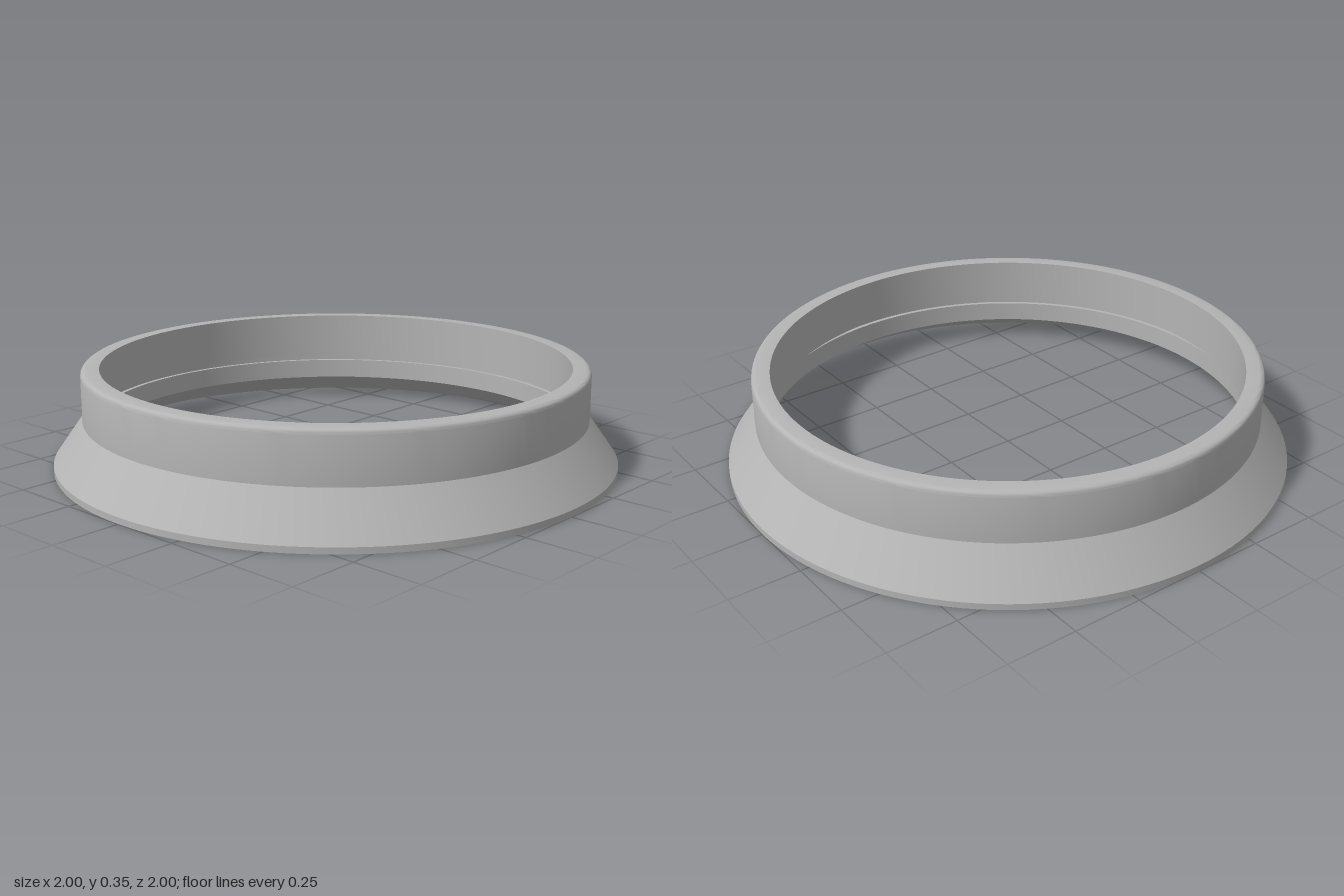
import * as THREE from 'three';
import { toCreasedNormals } from 'three/addons/utils/BufferGeometryUtils.js';

export function createModel() {
  const group = new THREE.Group();
  group.name = 'flaredRing';
  const metal = new THREE.MeshStandardMaterial({ color: 0xb4b4b4 });
  metal.name = 'grey metal';

  const profile = [];
  const add = (r, y) => profile.push(new THREE.Vector2(r, y));

  // Outside: thin rim, sloping flare, straight collar
  add(1, 0);
  add(1, 0.022);
  add(0.895, 0.17);

  // Rounded outer top edge of the collar
  const fillet = 0.018;
  for (let i = 0; i <= 4; i++) {
    const a = (i / 4) * Math.PI / 2;
    add(0.895 - fillet + fillet * Math.cos(a), 0.35 - fillet + fillet * Math.sin(a));
  }

  // Inside: bore, shallow groove, lower wall, underside of the flare
  add(0.83, 0.35);
  add(0.83, 0.182);
  add(0.875, 0.182);
  add(0.875, 0.155);
  add(0.86, 0.155);
  add(0.86, 0.083);
  add(1, 0);

  const geometry = toCreasedNormals(new THREE.LatheGeometry(profile, 128), 0.5);
  const ring = new THREE.Mesh(geometry, metal);
  ring.name = 'flangedCollar';
  group.add(ring);
  return group;
}
